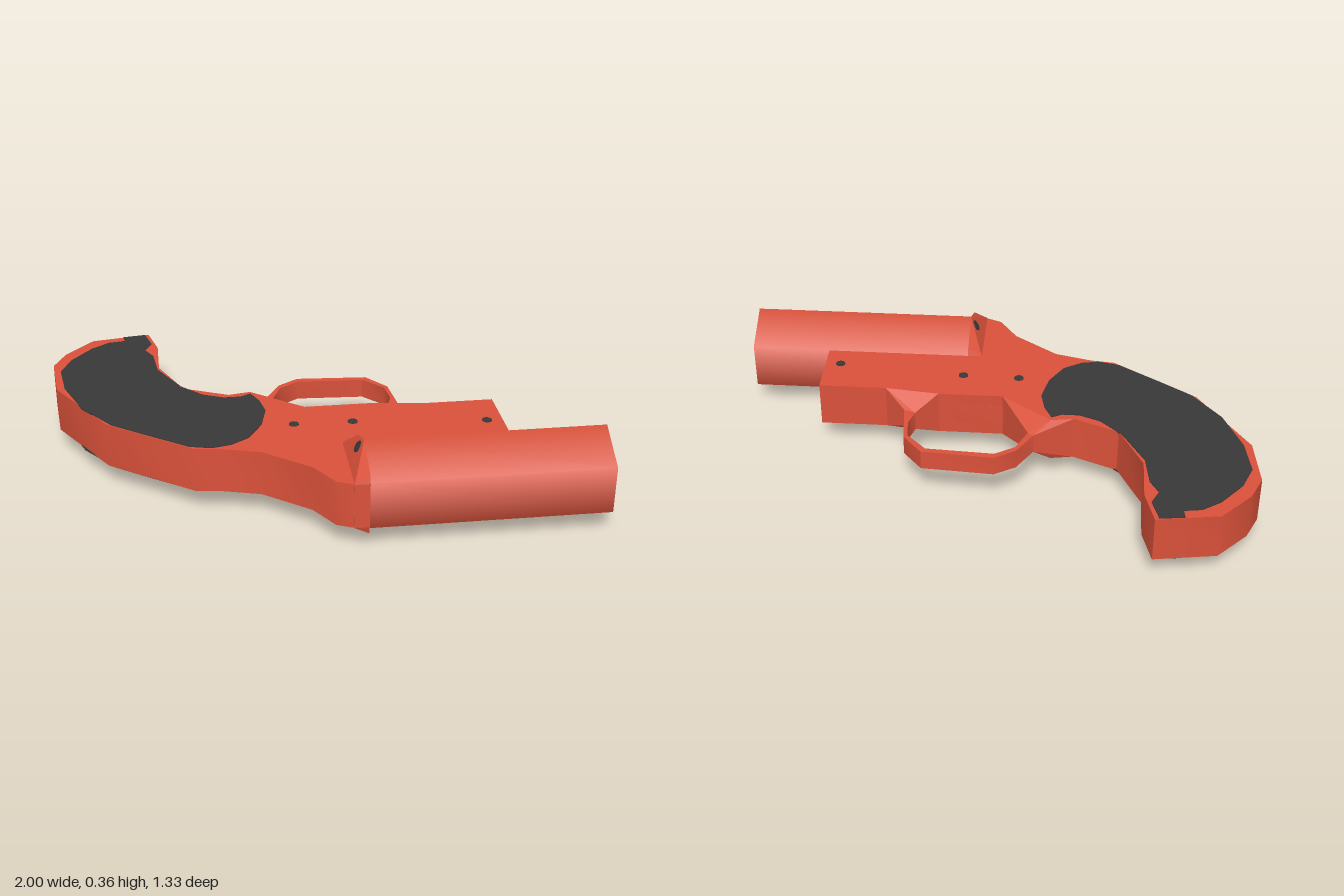
import * as THREE from 'three';
import { toCreasedNormals } from 'three/addons/utils/BufferGeometryUtils.js';
import { ConvexGeometry } from 'three/addons/geometries/ConvexGeometry.js';

const MID = 0.182;      // height of the plane of symmetry
const HALF = 0.088;     // half thickness of the frame
const THIN = 0.038;     // half thickness of the trigger guard
const BARREL_R = 0.181;
const BARREL_Z = 0.51;

const toPoints = (list) => list.map(([x, z]) => new THREE.Vector2(x, z));

// Flat plate drawn in plan as (x, z), extruded from low to high
function plate(outline, low, high, hole) {
  const shape = new THREE.Shape(toPoints(outline));
  if (hole) shape.holes.push(new THREE.Path(toPoints(hole)));
  const geo = new THREE.ExtrudeGeometry(shape, { depth: high - low, bevelEnabled: false });
  geo.rotateX(Math.PI / 2).translate(0, high, 0);
  return toCreasedNormals(geo, 0.7);
}

// Solid tapering from full frame thickness to guard thickness
function taper(thick, thin) {
  const points = [];
  for (const [list, h] of [[thick, HALF], [thin, THIN]])
    for (const [x, z] of list)
      for (const s of [-1, 1]) points.push(new THREE.Vector3(x, MID + s * h, z));
  return new ConvexGeometry(points);
}

export function createModel() {
  const model = new THREE.Group();
  model.name = 'flareGun';
  const makeMaterial = (name, color) => {
    const m = new THREE.MeshStandardMaterial({ color });
    m.name = name;
    return m;
  };
  const red = makeMaterial('orangeRed', 0xd9513a);
  const grey = makeMaterial('darkGrey', 0x383838);
  const black = makeMaterial('black', 0x0f0f0f);
  const add = (name, geo, mat) => {
    const mesh = new THREE.Mesh(geo, mat);
    mesh.name = name;
    model.add(mesh);
    return mesh;
  };

  // Frame with curved handle
  add('frame', plate([
    [-0.615, -0.667], [-0.58, -0.53], [-0.58, -0.34], [-0.49, -0.145], [-0.32, -0.07],
    [-0.235, -0.085], [-0.18, 0], [-0.04, 0.065], [0.21, 0.065], [0.42, 0.09],
    [0.683, 0.09], [0.687, 0.355], [0.12, 0.355], [0.12, 0.664], [0.07, 0.664],
    [0.005, 0.635], [-0.065, 0.525], [-0.235, 0.395], [-0.38, 0.355], [-0.47, 0.345],
    [-0.79, 0.115], [-0.98, -0.195], [-1, -0.41], [-0.955, -0.51], [-0.845, -0.63],
  ], MID - HALF, MID + HALF), red);

  // Thin trigger guard loop
  add('triggerGuard', plate([
    [-0.2, 0.12], [-0.23, -0.09], [-0.17, -0.12], [-0.11, -0.225], [-0.03, -0.276],
    [0.245, -0.257], [0.32, -0.165], [0.34, 0.018], [0.42, 0.09], [0.4, 0.12],
  ], MID - THIN, MID + THIN, [
    [-0.04, 0.062], [0.21, 0.066], [0.295, 0], [0.315, -0.07], [0.305, -0.155],
    [0.23, -0.235], [-0.03, -0.25], [-0.107, -0.2], [-0.147, -0.105], [-0.13, -0.02],
  ]), red);

  // Chamfered blends between frame and guard
  add('rearGuardBlend', taper(
    [[-0.32, -0.07], [-0.235, -0.085], [-0.18, 0.05], [-0.04, 0.065]],
    [[-0.17, -0.12], [-0.148, -0.105], [-0.13, -0.02]]), red);
  add('frontGuardBlend', taper(
    [[0.21, 0.065], [0.42, 0.09], [0.3, 0.11]],
    [[0.295, 0], [0.34, 0.018]]), red);

  // Hexagonal barrel with rounded shading and a dark bore
  const barrel = new THREE.CylinderGeometry(BARREL_R, BARREL_R, 0.88, 6, 1, false, Math.PI / 2);
  barrel.rotateZ(-Math.PI / 2).translate(0.56, MID, BARREL_Z);
  add('barrel', barrel, red);
  const bore = new THREE.CircleGeometry(0.134, 14);
  bore.rotateY(Math.PI / 2).translate(1.002, MID, BARREL_Z);
  add('bore', bore, black);

  // Collar flaring from the frame to the barrel
  const collarPoints = [];
  for (const sy of [-1, 1]) {
    collarPoints.push(new THREE.Vector3(0.12, MID + sy * BARREL_R, BARREL_Z));
    for (const sz of [-1, 1])
      for (const [x, y, z] of [[0.12, 0.118, 0.147], [0.12, HALF, 0.156], [0.065, HALF, 0.154]])
        collarPoints.push(new THREE.Vector3(x, MID + sy * y, BARREL_Z + sz * z));
  }
  add('collar', new ConvexGeometry(collarPoints), red);

  // Grip panels on both faces of the handle
  const grip = [
    [-0.72, -0.648], [-0.63, -0.66], [-0.605, -0.57], [-0.632, -0.51], [-0.6, -0.45],
    [-0.585, -0.32], [-0.5, -0.16], [-0.42, -0.08], [-0.34, -0.045], [-0.275, -0.045],
    [-0.235, -0.066], [-0.205, 0], [-0.19, 0.08], [-0.215, 0.19], [-0.27, 0.285],
    [-0.34, 0.33], [-0.41, 0.345], [-0.49, 0.325], [-0.66, 0.205], [-0.77, 0.125],
    [-0.88, -0.02], [-0.95, -0.2], [-0.97, -0.35], [-0.93, -0.45], [-0.85, -0.55],
    [-0.78, -0.6], [-0.715, -0.61],
  ];
  for (const [side, s] of [['upper', 1], ['lower', -1]]) {
    const y = MID + s * HALF;
    add(side + 'GripPanel', plate(grip, y - 0.003, y + 0.003), grey);

    // Screw heads
    for (const [x, z] of [[-0.095, 0.2], [0.125, 0.205], [0.625, 0.255]]) {
      const screw = add(side + 'Screw', new THREE.CylinderGeometry(0.019, 0.019, 0.006, 10), grey);
      screw.position.set(x, y, z);
    }

    // Sloped pin on the collar
    const pin = add(side + 'CollarPin', new THREE.CylinderGeometry(0.022, 0.022, 0.008, 10), grey);
    pin.position.set(0.1, MID + s * 0.146, 0.5);
    pin.rotation.z = s * 1.03;
  }
  return model;
}
